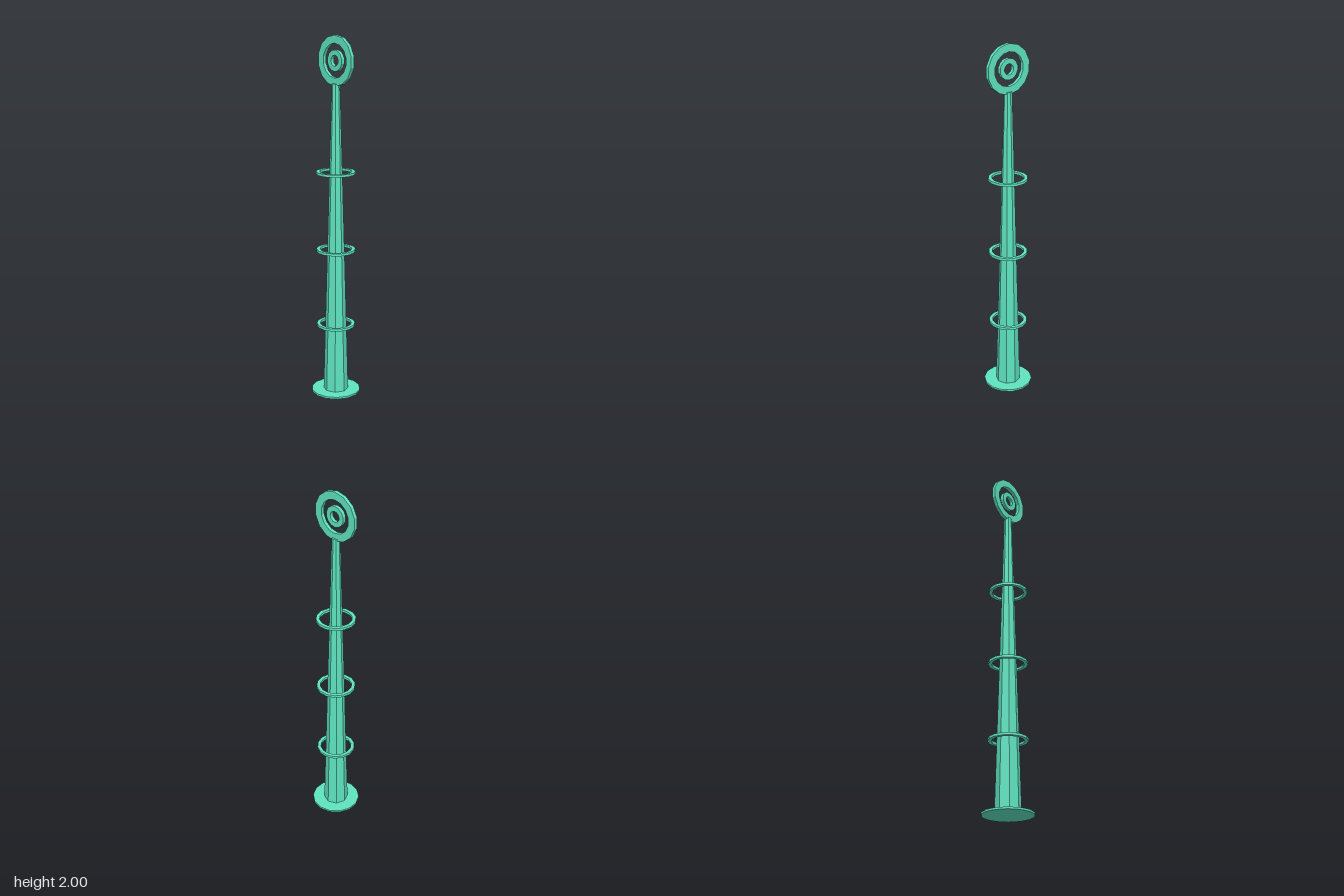
import * as THREE from 'three';

const SIDES = 14;
const material = new THREE.MeshStandardMaterial({ color: 0x5fe4c1, flatShading: true });

// Counter-clockwise regular polygon with a corner at the top
function polygon(radius, Type) {
  const points = [];
  for (let i = 0; i < SIDES; i++) {
    const a = (i / SIDES) * Math.PI * 2;
    points.push(new THREE.Vector2(-Math.sin(a) * radius, Math.cos(a) * radius));
  }
  return new Type(points);
}

// Flat faceted ring facing +z, centred on its own depth
function ringGeometry(outer, inner, depth) {
  const shape = polygon(outer, THREE.Shape);
  shape.holes.push(polygon(inner, THREE.Path));
  return new THREE.ExtrudeGeometry(shape, { depth, bevelEnabled: false }).translate(0, 0, -depth / 2);
}

export function createModel() {
  const model = new THREE.Group();
  model.name = 'ringedPole';

  function add(name, geometry, y) {
    const mesh = new THREE.Mesh(geometry, material);
    mesh.name = name;
    mesh.position.y = y;
    model.add(mesh);
  }

  // Base plate and tapering octagonal column
  add('basePlate', new THREE.CylinderGeometry(0.138, 0.138, 0.011, SIDES), 0.0055);
  add('column', new THREE.CylinderGeometry(0.022, 0.07, 1.737, 8), 0.8785);

  // Horizontal rings floating around the column, corners on the x axis
  [0.399, 0.833, 1.268].forEach((y, i) => {
    const hoop = ringGeometry(0.108, 0.088, 0.014).rotateX(Math.PI / 2).rotateY(Math.PI / SIDES);
    add(`hoop${i + 1}`, hoop, y);
  });

  // Upright concentric rings on top
  add('outerTopRing', ringGeometry(0.1333, 0.091, 0.02), 1.8667);
  add('innerTopRing', ringGeometry(0.057, 0.029, 0.02), 1.8667);

  return model;
}
